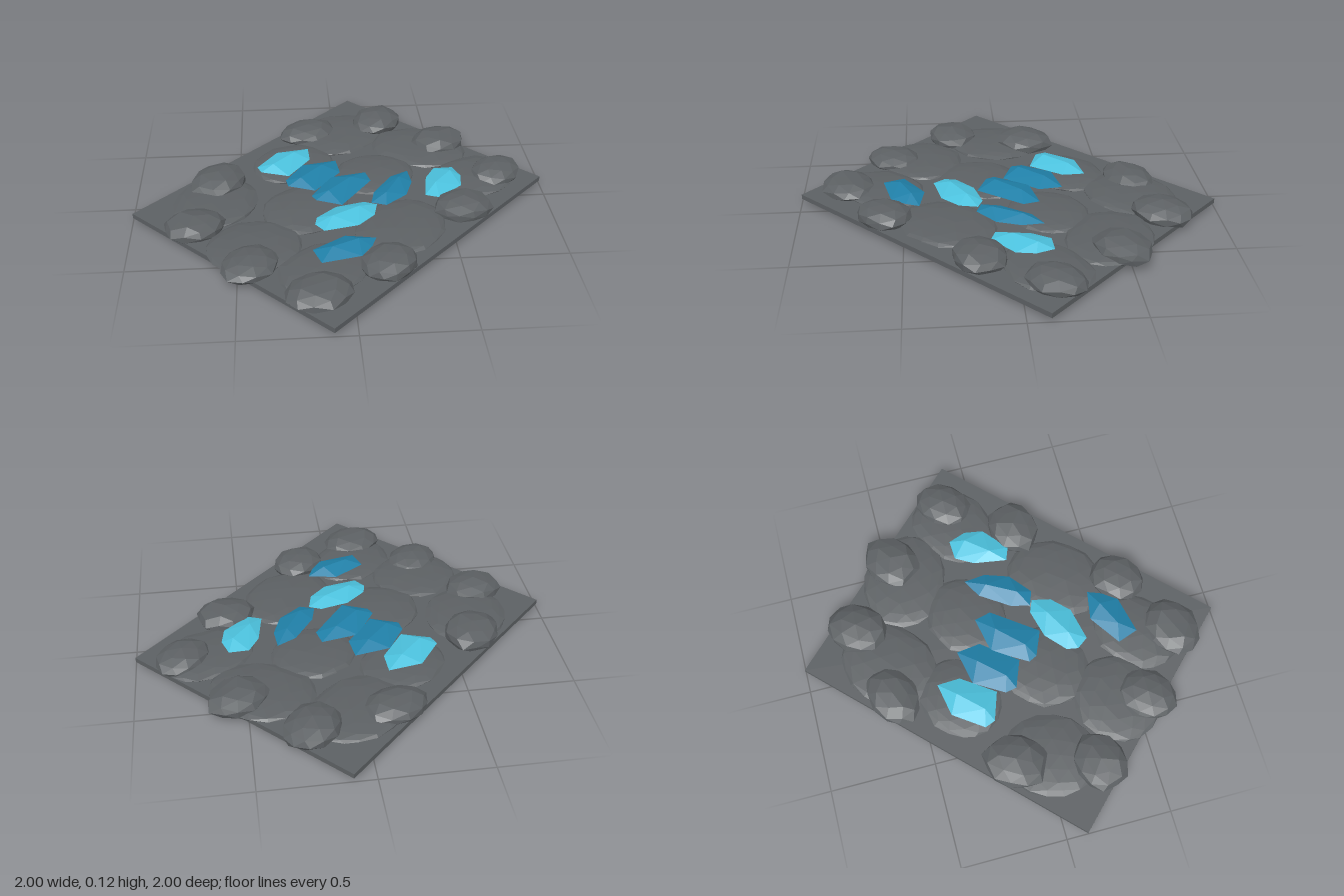
import * as THREE from 'three';
import { ConvexGeometry } from 'three/addons/geometries/ConvexGeometry.js';

const mat = (name, color) => {
  const m = new THREE.MeshStandardMaterial({ color, flatShading: true });
  m.name = name;
  return m;
};

// Faceted boulder: an icosphere with small bumps that depend only on position, so it stays closed
function boulderGeometry(detail, seed, bump) {
  const g = new THREE.IcosahedronGeometry(1, detail);
  const p = g.attributes.position;
  const v = new THREE.Vector3();
  for (let i = 0; i < p.count; i++) {
    v.fromBufferAttribute(p, i);
    const n = Math.sin(v.x * 5.1 + seed) * Math.sin(v.y * 4.3 + seed * 1.7) * Math.sin(v.z * 5.7 + seed * 2.3);
    v.multiplyScalar(1 + bump * n);
    p.setXYZ(i, v.x, v.y, v.z);
  }
  g.computeVertexNormals();
  return g;
}

// Crystal: a sharp girdle outline with a short ridge above and below
function crystalGeometry(outline, mid, half) {
  const pts = [];
  for (let i = 0; i < outline.length; i += 2) pts.push(new THREE.Vector3(outline[i], mid, outline[i + 1]));
  const c = new THREE.Vector3();
  pts.forEach((p) => c.addScaledVector(p, 1 / pts.length));
  const far = pts.reduce((a, b) => (b.distanceTo(c) > a.distanceTo(c) ? b : a));
  const ridge = [];
  for (const s of [-0.42, 0.42]) {
    for (const up of [-half, half]) {
      const r = far.clone().sub(c).multiplyScalar(s).add(c);
      r.y = mid + up;
      ridge.push(r);
    }
  }
  return new ConvexGeometry([...pts, ...ridge]);
}

export function createModel() {
  const model = new THREE.Group();
  const stone = mat('grey stone', 0x5c6063);
  const light = mat('light blue crystal', 0x4cc2de);
  const dark = mat('deep blue crystal', 0x2080a8);

  const add = (name, geometry, material, parent = model) => {
    const mesh = new THREE.Mesh(geometry, material);
    mesh.name = name;
    parent.add(mesh);
    return mesh;
  };

  // Base slab, turned an eighth of a circle
  const slab = add('slab', new THREE.BoxGeometry(1.556, 0.024, 1.273), stone);
  slab.position.y = 0.034;
  slab.rotation.y = Math.PI / 4;

  // Low mounds covering the slab: x, z, long radius, short radius, angle
  const mounds = new THREE.Group();
  mounds.name = 'mounds';
  model.add(mounds);
  [
    [-0.61, 0.03, 0.23, 0.20, 1.2], [-0.425, 0.41, 0.22, 0.20, 0.4],
    [0.02, -0.60, 0.25, 0.20, 0.7], [0.43, -0.43, 0.25, 0.20, -0.4],
    [0.17, -0.18, 0.21, 0.19, 0.5], [-0.18, 0.12, 0.22, 0.20, 0.9],
    [0.25, 0.30, 0.25, 0.20, 0.9], [0.66, -0.12, 0.23, 0.18, 0.6],
    [-0.12, 0.60, 0.22, 0.18, 0.6], [-0.23, -0.31, 0.21, 0.18, 0.6],
  ].forEach(([x, z, a, b, angle], i) => {
    const m = add('mound', boulderGeometry(2, i * 1.9, 0.06), stone, mounds);
    m.scale.set(a, 0.028, b);
    m.position.set(x, 0.046, z);
    m.rotation.y = angle;
  });

  // Ring of boulders along the rim: x, z, long radius, short radius, angle, top height
  const boulders = new THREE.Group();
  boulders.name = 'boulders';
  model.add(boulders);
  [
    [-0.14, -0.615, 0.155, 0.115, 0.4, 0.11], [0.235, -0.71, 0.15, 0.125, 0.9, 0.125],
    [0.54, -0.47, 0.15, 0.125, 0.6, 0.12], [0.78, -0.145, 0.145, 0.115, 0.9, 0.115],
    [0.565, 0.165, 0.145, 0.125, 0.3, 0.12], [0.165, 0.59, 0.14, 0.12, 0.8, 0.12],
    [-0.15, 0.775, 0.15, 0.125, 0.4, 0.11], [-0.445, 0.555, 0.145, 0.12, 0.9, 0.105],
    [-0.70, 0.245, 0.145, 0.125, 0.3, 0.115], [-0.60, -0.135, 0.155, 0.13, 1.1, 0.124],
  ].forEach(([x, z, a, b, angle, top], i) => {
    const m = add('boulder', boulderGeometry(1, i * 2.7 + 1, 0.1), stone, boulders);
    m.scale.set(a, (top - 0.008) / 2, b);
    m.position.set(x, (top + 0.008) / 2, z);
    m.rotation.y = angle;
  });

  // Crystals: material and girdle outline as x, z pairs
  const crystals = new THREE.Group();
  crystals.name = 'crystals';
  model.add(crystals);
  [
    [light, [-0.31, -0.37, -0.15, -0.4, -0.145, -0.29, -0.255, -0.135, -0.39, -0.18, -0.41, -0.23]],
    [dark, [-0.185, -0.235, -0.015, -0.27, 0, -0.155, -0.13, 0.01, -0.26, -0.04, -0.27, -0.095]],
    [dark, [-0.05, -0.11, 0.125, -0.145, 0.145, -0.065, -0.01, 0.145, -0.13, 0.095, -0.15, 0.055]],
    [dark, [0.13, 0.135, 0.15, 0.045, 0.245, -0.095, 0.335, -0.145, 0.345, -0.04, 0.305, 0.075, 0.2, 0.16]],
    [light, [0.395, 0.085, 0.42, -0.075, 0.47, -0.16, 0.565, -0.165, 0.595, -0.08, 0.58, 0.01, 0.46, 0.11]],
    [light, [-0.145, 0.3, -0.135, 0.245, -0.04, 0.16, 0.095, 0.125, 0.155, 0.15, 0.135, 0.24, 0.055, 0.32, -0.105, 0.355]],
    [dark, [-0.165, 0.5, -0.095, 0.46, -0.015, 0.4, 0.125, 0.425, 0.1, 0.49, 0.05, 0.56, -0.13, 0.6]],
  ].forEach(([material, outline]) => {
    add('crystal', crystalGeometry(outline, 0.08, 0.028), material, crystals);
  });

  // Rest the lowest boulder on the ground
  const box = new THREE.Box3().setFromObject(model, true);
  model.children.forEach((c) => { c.position.y -= box.min.y; });
  return model;
}
